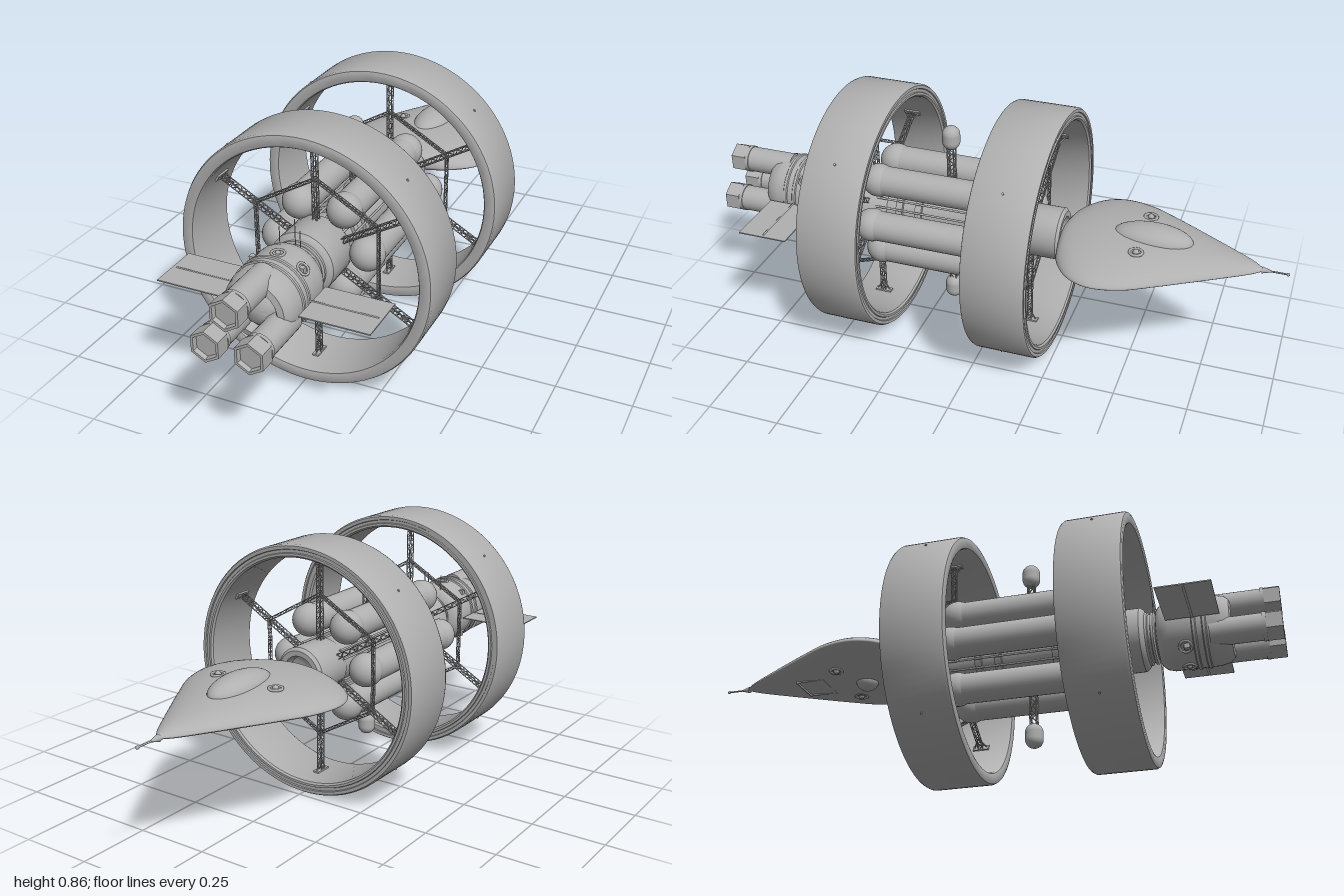
import * as THREE from 'three';
import { mergeGeometries, toCreasedNormals } from 'three/addons/utils/BufferGeometryUtils.js';

const AXIS_Y = 0.435;
const V = (x, y, z) => new THREE.Vector3(x, y, z);
const polar = (deg, r, z) => V(r * Math.cos(deg * Math.PI / 180), r * Math.sin(deg * Math.PI / 180), z);
const SPOKES = [30, 90, 150, 210, 270, 330];
const TANKS = [0, 60, 120, 180, 240, 300];

export function createModel() {
  const model = new THREE.Group();
  const craft = new THREE.Group();
  craft.name = 'spacecraft';
  craft.position.y = AXIS_Y;
  model.add(craft);
  const grey = new THREE.MeshStandardMaterial({ color: 0xb0b0b0, side: THREE.DoubleSide });
  grey.name = 'hull grey';

  const add = (name, geo, x = 0, y = 0, z = 0) => {
    const mesh = new THREE.Mesh(geo, grey);
    mesh.name = name;
    mesh.position.set(x, y, z);
    craft.add(mesh);
    return mesh;
  };
  // Profile of [radius, z] turned around the long axis
  const turned = (pts, seg = 48) => toCreasedNormals(
    new THREE.LatheGeometry(pts.map(p => new THREE.Vector2(...p)), seg).rotateX(Math.PI / 2), 0.6);
  const tube = (r, z0, z1, sides = 28) =>
    new THREE.CylinderGeometry(r, r, z1 - z0, sides).rotateX(Math.PI / 2).translate(0, 0, (z0 + z1) / 2);
  const beam = (a, b, r, sides = 5) => {
    const d = b.clone().sub(a);
    const q = new THREE.Quaternion().setFromUnitVectors(V(0, 1, 0), d.clone().normalize());
    const mid = a.clone().add(b).multiplyScalar(0.5);
    return new THREE.CylinderGeometry(r, r, d.length(), sides).applyQuaternion(q).translate(mid.x, mid.y, mid.z);
  };
  // Square lattice girder between two points
  const truss = (a, b, width, bays, r) => {
    const dir = b.clone().sub(a).normalize();
    const side = dir.clone().cross(V(0, 0, 1)).multiplyScalar(width / 2);
    const deep = V(0, 0, width / 2);
    const corner = (i, t) => a.clone().lerp(b, t)
      .addScaledVector(side, i % 4 < 2 ? 1 : -1).addScaledVector(deep, [1, 2].includes(i % 4) ? 1 : -1);
    const parts = [];
    for (let i = 0; i < 4; i++) {
      parts.push(beam(corner(i, 0), corner(i, 1), r));
      for (let k = 0; k < bays; k++) {
        const flip = k % 2;
        parts.push(beam(corner(i + flip, k / bays), corner(i + 1 - flip, (k + 1) / bays), r * 0.8, 4));
      }
    }
    return mergeGeometries(parts);
  };

  // Two habitat rings, each with spokes, feet and a hexagonal brace
  for (const [label, z] of [['front', 0.445], ['rear', -0.125]]) {
    const h = 0.107;
    add(label + 'Ring', turned([
      [0.388, -h + 0.006], [0.394, -h], [0.402, -h], [0.404, -h + 0.004], [0.414, -h + 0.004], [0.416, -h],
      [0.427, -h], [0.432, -h + 0.008], [0.432, h - 0.012], [0.428, h - 0.003], [0.42, h],
      [0.4, h], [0.392, h - 0.003], [0.388, h - 0.01], [0.388, -h + 0.006],
    ], 96), 0, 0, z);
    const spokes = [], braces = [], studs = [];
    SPOKES.forEach(a => {
      spokes.push(truss(polar(a, 0.07, z), polar(a, 0.387, z), 0.016, 18, 0.0017));
      spokes.push(new THREE.BoxGeometry(0.006, 0.022, 0.06)
        .translate(0.385, 0, 0).rotateZ(a * Math.PI / 180).translate(0, 0, z));
      for (const s of [-1, 1])
        spokes.push(beam(polar(a, 0.34, z), polar(a, 0.386, z + s * 0.025), 0.0025));
      braces.push(truss(polar(a, 0.247, z), polar(a + 60, 0.247, z), 0.009, 18, 0.0013));
    });
    for (const a of [45, 135, 225, 315])
      studs.push(beam(polar(a, 0.43, z), polar(a, 0.436, z), 0.004, 10));
    add(label + 'Spokes', mergeGeometries(spokes));
    add(label + 'HexagonBrace', mergeGeometries(braces));
    add(label + 'RingStuds', mergeGeometries(studs));
  }

  // Central hub with ribs, open docking collar behind and neck in front
  add('hub', turned([
    [0, -0.19], [0.035, -0.2], [0.055, -0.215], [0.062, -0.245], [0.08, -0.245], [0.09, -0.235], [0.09, -0.1],
    [0.08, -0.08], [0.08, 0.38], [0.095, 0.4], [0.108, 0.42], [0.108, 0.545], [0.1, 0.555],
    [0.09, 0.56], [0.09, 0.568], [0.082, 0.57], [0.082, 0.578], [0.088, 0.58], [0.088, 0.588], [0.076, 0.592], [0.076, 0.61],
  ]));
  for (const z of [-0.01, 0.06, 0.26, 0.33]) add('hubRib', tube(0.092, z - 0.012, z + 0.012, 36));
  const rails = [];
  SPOKES.forEach(a => [-9, 9].forEach(d =>
    rails.push(beam(polar(a + d, 0.1, -0.12), polar(a + d, 0.1, 0.42), 0.004, 6))));
  add('hubRails', mergeGeometries(rails));

  // Six long tanks with ball ends
  TANKS.forEach(a => {
    const p = polar(a, 0.156, 0);
    add('tank', tube(0.052, -0.08, 0.4), p.x, p.y);
    for (const z of [-0.08, 0.4]) add('tankEnd', new THREE.SphereGeometry(0.058, 28, 18), p.x, p.y, z);
  });

  // Side pods on short girders, above and below
  for (const s of [1, -1]) {
    add('podGirder', truss(V(0, s * 0.08, 0.162), V(0, s * 0.27, 0.162), 0.022, 9, 0.0025));
    add('pod', new THREE.CapsuleGeometry(0.031, 0.024, 10, 24), 0, s * 0.301, 0.162);
  }

  // Service module
  add('serviceModule', turned([
    [0.076, 0.595], [0.095, 0.6], [0.11, 0.615], [0.117, 0.64], [0.117, 0.715], [0.121, 0.718], [0.121, 0.727],
    [0.117, 0.73], [0.117, 0.748], [0.121, 0.751], [0.121, 0.76], [0.117, 0.763], [0.117, 0.79], [0.11, 0.82],
    [0.095, 0.836], [0.075, 0.84], [0.068, 0.832], [0.064, 0.81], [0.05, 0.825], [0.03, 0.835], [0, 0.84],
  ]));
  for (let i = 0; i < 4; i++) {
    const port = new THREE.Group();
    port.name = 'servicePort';
    port.rotation.z = i * Math.PI / 2 + (i % 2 ? Math.PI / 4 : 0);
    const rim = new THREE.Mesh(new THREE.TorusGeometry(0.02, 0.004, 8, 24).rotateX(Math.PI / 2), grey);
    rim.name = 'portRim';
    rim.position.set(0, 0.117, 0.69);
    const knob = new THREE.Mesh(new THREE.SphereGeometry(0.008, 12, 8), grey);
    knob.name = 'portKnob';
    knob.position.copy(rim.position);
    port.add(rim, knob);
    craft.add(port);
  }
  for (const a of [45, 135, 225, 315]) {
    const p = polar(a, 0.118, 0.695);
    add('thruster', new THREE.BoxGeometry(0.016, 0.016, 0.018), p.x, p.y, p.z);
  }

  // Three engines with hexagonal nozzles
  for (const a of [90, 210, 330]) {
    const p = polar(a, 0.082, 0);
    add('engine', tube(0.045, 0.77, 0.95), p.x, p.y);
    add('engineBand', tube(0.048, 0.936, 0.948), p.x, p.y);
    const nozzle = new THREE.LatheGeometry([
      [0, 0.985], [0.04, 0.985], [0.043, 1], [0.052, 1], [0.052, 0.948], [0, 0.948],
    ].reverse().map(q => new THREE.Vector2(...q)), 6).rotateX(Math.PI / 2);
    add('nozzle', toCreasedNormals(nozzle, 0.3), p.x, p.y);
  }

  // Solar wings and masts
  for (const s of [1, -1]) {
    add('solarWing', new THREE.BoxGeometry(0.226, 0.004, 0.174), s * 0.239, 0, 0.722);
    add('solarArm', beam(V(s * 0.1, 0, 0.722), V(s * 0.34, 0, 0.722), 0.004, 8));
    add('mast', beam(V(s * 0.035, 0.08, 0.615), V(s * 0.035, 0.16, 0.615), 0.0015));
  }
  add('centreMast', beam(V(0, 0.07, 0.582), V(0, 0.175, 0.582), 0.0015));

  // Teardrop lander: sections of (half width, top height, z)
  const line = new THREE.CatmullRomCurve3([
    [0.01, 0.022, -0.238], [0.1, 0.035, -0.245], [0.18, 0.047, -0.268], [0.252, 0.058, -0.325], [0.281, 0.064, -0.4],
    [0.262, 0.064, -0.5], [0.208, 0.058, -0.6], [0.148, 0.047, -0.7], [0.087, 0.033, -0.8], [0.036, 0.018, -0.88],
    [0.002, 0.004, -0.92],
  ].map(p => V(...p)));
  const rows = 44, cols = 48, pos = [], index = [];
  for (let i = 0; i <= rows; i++) {
    const s = line.getPoint(i / rows);
    for (let j = 0; j < cols; j++) {
      const t = j / cols * Math.PI * 2, up = Math.sin(t);
      const y = Math.sign(up) * Math.pow(Math.abs(up), 1.2) * s.y * (up > 0 ? 1 : 0.48);
      pos.push(Math.cos(t) * s.x, y, s.z);
      if (i < rows) {
        const a = i * cols + j, b = i * cols + (j + 1) % cols;
        index.push(a, a + cols, b, b, a + cols, b + cols);
      }
    }
  }
  const hull = new THREE.BufferGeometry();
  hull.setAttribute('position', new THREE.Float32BufferAttribute(pos, 3));
  hull.setIndex(index);
  hull.computeVertexNormals();
  add('landerHull', hull);
  add('landerCanopy', new THREE.SphereGeometry(1, 32, 20).scale(0.067, 0.048, 0.136), 0, 0.047, -0.546);
  add('landerBellyDome', new THREE.SphereGeometry(0.04, 24, 16).scale(1, 0.9, 1), 0, -0.024, -0.445);
  for (const s of [1, -1]) {
    for (const y of [0.056, -0.026]) {
      add('landerPort', new THREE.TorusGeometry(0.021, 0.005, 8, 24).rotateX(Math.PI / 2), s * 0.115, y, -0.515);
      add('landerPortKnob', new THREE.SphereGeometry(0.011, 12, 8), s * 0.115, y, -0.515);
    }
    add('bellyHatchSide', new THREE.BoxGeometry(0.004, 0.006, 0.1), s * 0.06, -0.024, -0.64);
    add('bellyHatchEnd', new THREE.BoxGeometry(0.124, 0.006, 0.004), 0, -0.026, -0.64 + s * 0.05);
  }
  add('noseProbe', beam(V(0, 0, -0.9), V(0, 0, -0.995), 0.003, 8));
  add('noseCone', new THREE.CylinderGeometry(0.003, 0.012, 0.03, 16).rotateX(-Math.PI / 2), 0, 0, -0.925);
  add('probeTip', new THREE.SphereGeometry(0.006, 12, 8), 0, 0, -0.994);
  return model;
}
